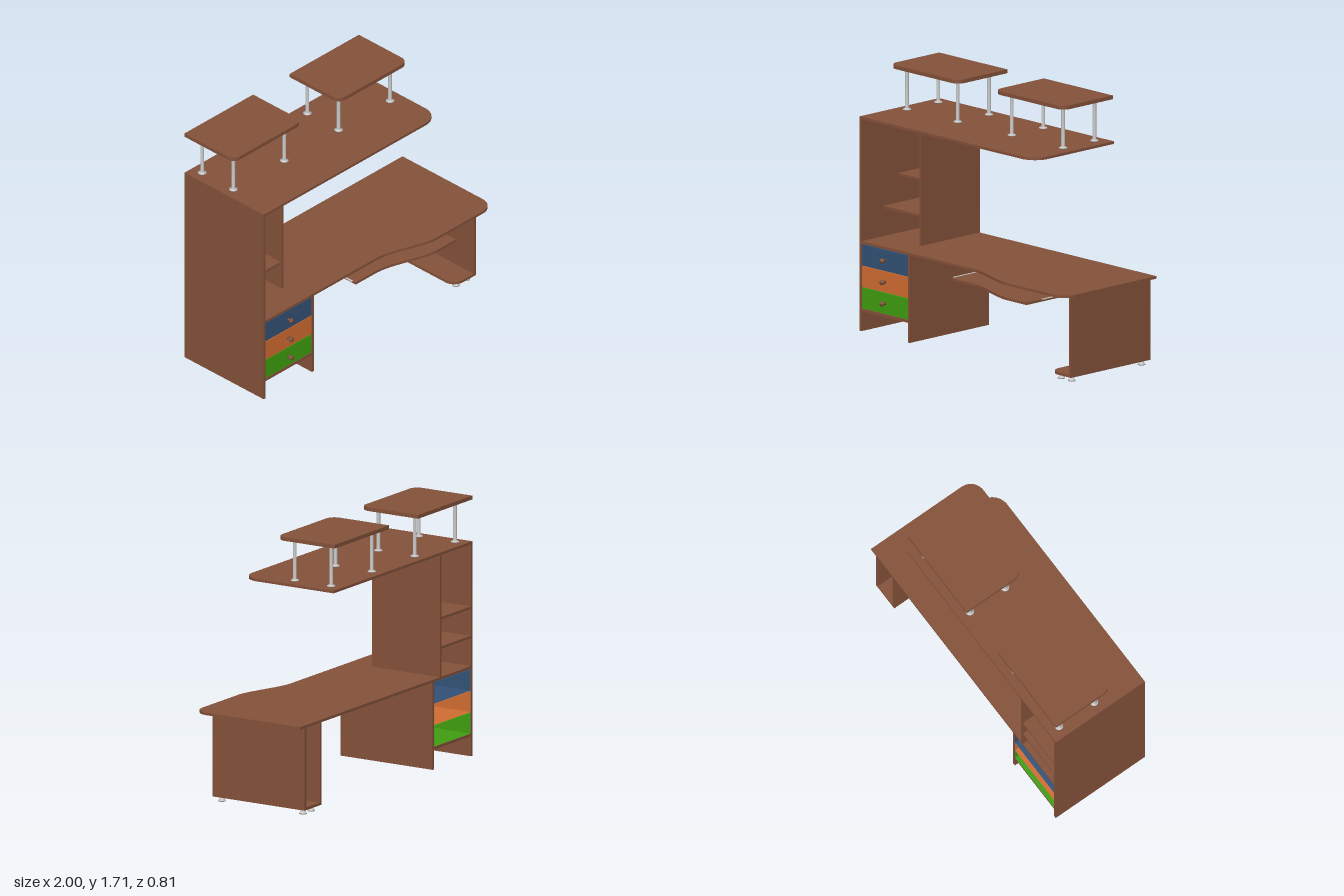
import * as THREE from 'three';

const mat = (color, side = THREE.FrontSide) => new THREE.MeshStandardMaterial({ color, side });

export function createModel() {
  const model = new THREE.Group();
  const wood = mat(0x85523a), metal = mat(0xcccccc);
  const BACK = -0.41, FRONT = 0.295;

  const add = (name, geometry, material = wood, parent = model) => {
    const mesh = new THREE.Mesh(geometry, material);
    mesh.name = name;
    parent.add(mesh);
    return mesh;
  };
  // Box given by its limits on each axis
  const box = (name, x0, x1, y0, y1, z0, z1, material) => {
    const g = new THREE.BoxGeometry(x1 - x0, y1 - y0, z1 - z0);
    return add(name, g.translate((x0 + x1) / 2, (y0 + y1) / 2, (z0 + z1) / 2), material);
  };
  // Horizontal board cut from an (x, z) outline
  const board = (name, shape, y0, y1) => {
    const g = new THREE.ExtrudeGeometry(shape, { depth: y1 - y0, bevelEnabled: false, curveSegments: 12 });
    return add(name, g.rotateX(Math.PI / 2).translate(0, y1, 0));
  };
  // Rectangle with its front corners rounded by rl (at x0) and rr (at x1)
  const roundedOutline = (x0, x1, z0, z1, rl, rr) => {
    const s = new THREE.Shape().moveTo(x0, z0).lineTo(x1, z0);
    if (rr) s.lineTo(x1, z1 - rr).absarc(x1 - rr, z1 - rr, rr, 0, Math.PI / 2, false);
    else s.lineTo(x1, z1);
    if (rl) s.lineTo(x0 + rl, z1).absarc(x0 + rl, z1 - rl, rl, Math.PI / 2, Math.PI, false);
    else s.lineTo(x0, z1);
    return s;
  };
  // Outline whose front edge swells forward on the right
  const wavyOutline = (x0, x1, z0, r) => {
    const s = new THREE.Shape().moveTo(x0, z0).lineTo(x1, z0);
    s.lineTo(x1, 0.405 - r);
    if (r) s.absarc(x1 - r, 0.405 - r, r, 0, Math.PI / 2, false);
    else s.lineTo(x1, 0.405);
    s.lineTo(0.47, 0.405).bezierCurveTo(0.37, 0.405, 0.16, 0.295, 0.04, FRONT);
    return s.lineTo(x0, FRONT);
  };

  // Worktop and long upper shelf
  board('desktop', wavyOutline(-1, 1, BACK, 0.1), 0.575, 0.592);
  board('upperShelf', roundedOutline(-1, 0.61, BACK, FRONT, 0, 0.12), 1.393, 1.41);

  // Upright panels on the left
  box('leftSidePanelLower', -1, -0.982, 0, 0.575, BACK, FRONT);
  box('leftSidePanelUpper', -1, -0.982, 0.592, 1.393, BACK, FRONT);
  box('drawerSidePanel', -0.557, -0.539, 0, 0.575, BACK, FRONT);
  box('shelfDivider', -0.643, -0.625, 0.592, 1.393, BACK, 0.11);

  // Bookshelves
  box('lowerBookshelf', -0.982, -0.643, 0.775, 0.792, BACK, 0.1);
  box('upperBookshelf', -0.982, -0.643, 0.968, 0.985, BACK, -0.035);

  // Coloured drawers, open at the back, with turned knobs
  box('drawerBase', -0.982, -0.557, 0.13, 0.148, BACK, FRONT);
  const knobProfile = [[0, 0], [0.011, 0], [0.007, 0.006], [0.007, 0.014], [0.015, 0.02],
    [0.017, 0.027], [0.014, 0.036], [0, 0.04]].map(([r, h]) => new THREE.Vector2(r, h));
  [['green', 0x3f9f10], ['orange', 0xd26d31], ['blue', 0x335277]].forEach(([colour, hex], i) => {
    const y = 0.15 + i * 0.141;
    const drawer = box(colour + 'Drawer', -0.98, -0.559, y, y + 0.137, BACK, FRONT - 0.003, mat(hex, THREE.DoubleSide));
    const index = Array.from(drawer.geometry.index.array);
    drawer.geometry.setIndex(index.slice(0, 30)); // drop the back face
    const knob = add(colour + 'DrawerKnob', new THREE.LatheGeometry(knobProfile, 20));
    knob.rotation.x = Math.PI / 2;
    knob.position.set(-0.77, y + 0.07, FRONT - 0.003);
  });

  // Raised stands on metal posts
  const postProfile = [[0, 0], [0.028, 0], [0.026, 0.005], [0.012, 0.015], [0.012, 0.26],
    [0.026, 0.27], [0.028, 0.275], [0, 0.275]].map(([r, h]) => new THREE.Vector2(r, h));
  for (const [name, x0, x1] of [['right', -1, -0.37], ['left', -0.035, 0.6]]) {
    board(name + 'Stand', roundedOutline(x0, x1, BACK, 0.03, 0.06, 0.06), 1.685, 1.71);
    for (const x of [x0 + 0.078, x1 - 0.085]) for (const z of [-0.05, -0.328]) {
      add(name + 'StandPost', new THREE.LatheGeometry(postProfile, 20), metal).position.set(x, 1.41, z);
    }
  }

  // Leg unit on the far side: two panels, a base board and small feet
  box('outerLegPanel', 0.928, 0.946, 0.05, 0.575, BACK, FRONT);
  box('innerLegPanel', 0.75, 0.768, 0.05, 0.575, BACK, -0.11);
  board('legBase', roundedOutline(0.75, 0.946, BACK, FRONT, 0.08, 0), 0.032, 0.05);
  const footProfile = [[0, 0], [0.025, 0], [0.023, 0.008], [0.015, 0.014], [0.015, 0.032], [0, 0.032]]
    .map(([r, h]) => new THREE.Vector2(r, h));
  for (const x of [0.81, 0.905]) for (const z of [0.25, -0.37]) {
    add('foot', new THREE.LatheGeometry(footProfile, 20), metal).position.set(x, 0, z);
  }

  // Keyboard tray hung on thin runners
  board('keyboardTray', wavyOutline(-0.155, 0.65, 0, 0), 0.478, 0.495);
  for (const [x, d] of [[-0.166, 1], [0.662, -1]]) {
    const inner = x + d * 0.012;
    box('trayRunner', Math.min(x, inner), Math.max(x, inner), 0.493, 0.497, 0, 0.27, metal);
    box('trayHanger', x - 0.002, x + 0.002, 0.493, 0.575, 0, 0.05, metal);
  }
  return model;
}
